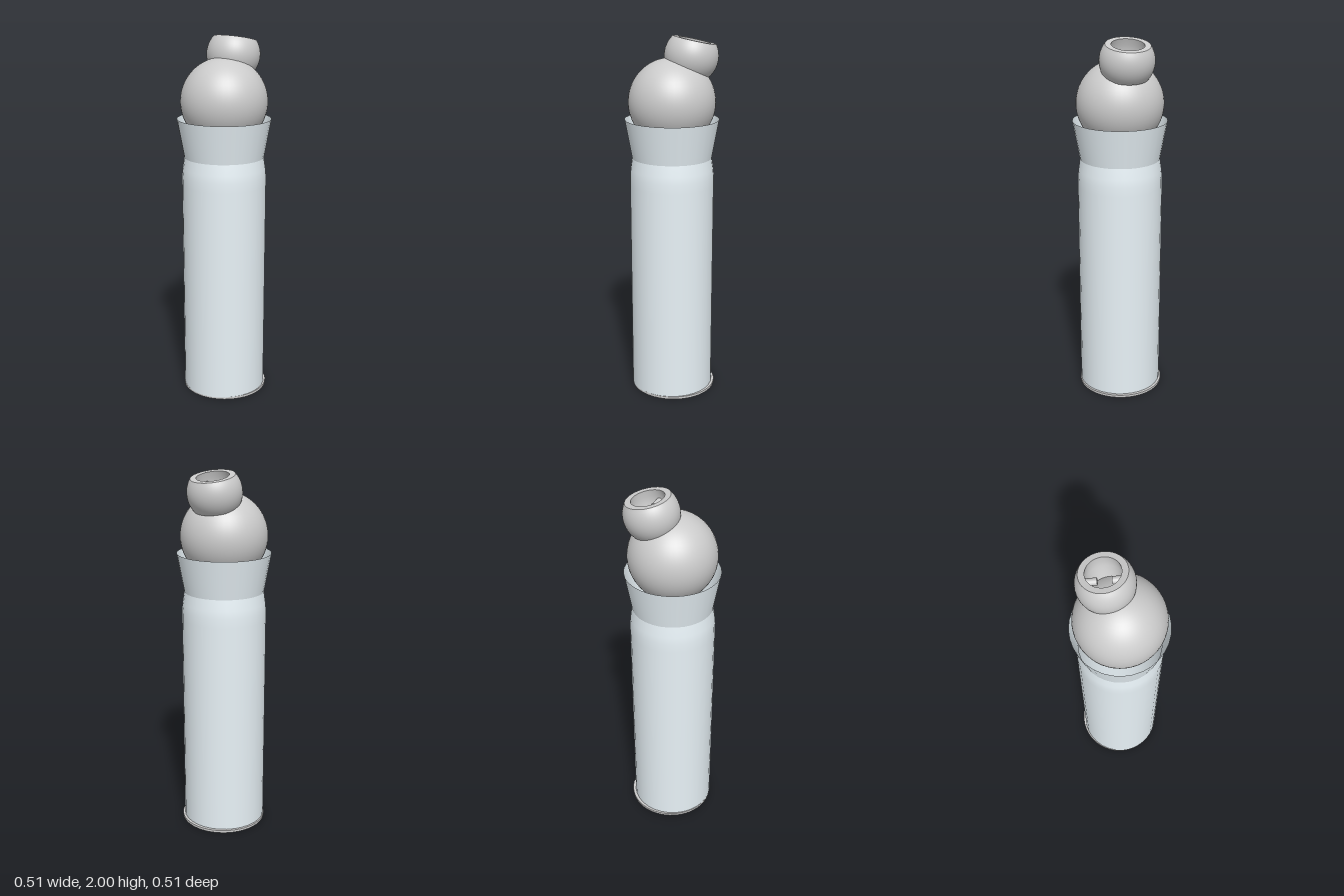
import * as THREE from 'three';

const grey = new THREE.MeshStandardMaterial({ color: 0xcccccc });
const greyDouble = new THREE.MeshStandardMaterial({ color: 0xcccccc, side: THREE.DoubleSide });
const pale = new THREE.MeshStandardMaterial({ color: 0xe8f2f7, side: THREE.DoubleSide });

function add(parent, name, geometry, material, x = 0, y = 0, z = 0) {
  const mesh = new THREE.Mesh(geometry, material);
  mesh.name = name;
  mesh.position.set(x, y, z);
  parent.add(mesh);
  return mesh;
}

// Revolve [radius, height] pairs around y
const lathe = (points, segments) =>
  new THREE.LatheGeometry(points.map(([r, y]) => new THREE.Vector2(r, y)), segments);

export function createModel() {
  const model = new THREE.Group();
  model.name = 'sleevedBallBottle';

  // Thin open sleeve: straight tube, pinched neck, flared collar
  add(model, 'sleeveTube', lathe([[0.23, 0.01], [0.23, 1.2]], 32), pale);
  add(model, 'sleeveNeck', lathe([[0.23, 1.2], [0.23, 1.25], [0.226, 1.29], [0.217, 1.35]], 32), pale);
  add(model, 'sleeveCollar', lathe([[0.217, 1.35], [0.255, 1.56]], 32), pale);

  // Base disc, slightly off centre
  add(model, 'baseDisc', new THREE.CylinderGeometry(0.237, 0.237, 0.014, 48), grey, 0.008, 0.007, -0.004);

  // Ball resting in the collar
  add(model, 'ball', new THREE.SphereGeometry(0.235, 48, 32), grey, 0, 1.65, 0);

  // Tilted ring-shaped cap
  const cap = new THREE.Group();
  cap.name = 'cap';
  cap.position.set(0.095, 1.89, -0.045);
  const up = new THREE.Vector3(0.2, 1, -0.07).normalize();
  cap.quaternion.setFromUnitVectors(new THREE.Vector3(0, 1, 0), up);
  model.add(cap);

  // Outer wall: a sphere cut off above and below
  const R = 0.145, h = 0.085, rim = Math.sqrt(R * R - h * h), hole = 0.086;
  const outer = [];
  for (let i = 0; i <= 12; i++) {
    const y = -h + (2 * h * i) / 12;
    outer.push([Math.sqrt(R * R - y * y), y]);
  }
  add(cap, 'capWall', lathe(outer, 48), grey);
  add(cap, 'capRim', lathe([[rim, h], [hole, h]], 48), greyDouble);
  add(cap, 'capUnderside', lathe([[0, -h], [rim, -h]], 48), greyDouble);
  add(cap, 'capBore', lathe([[hole, h], [0.092, 0.05], [0.092, 0.015], [0.084, -0.03], [0.07, -h]], 48), greyDouble);

  // Two opposed pins inside the bore
  const pins = new THREE.Group();
  pins.name = 'pins';
  pins.rotation.y = -0.22;
  cap.add(pins);
  for (const side of [-1, 1]) {
    const pin = add(pins, 'pin', new THREE.CylinderGeometry(0.018, 0.018, 0.065, 20), grey, 0, 0.02, side * 0.0675);
    pin.rotation.x = Math.PI / 2;
  }
  return model;
}
